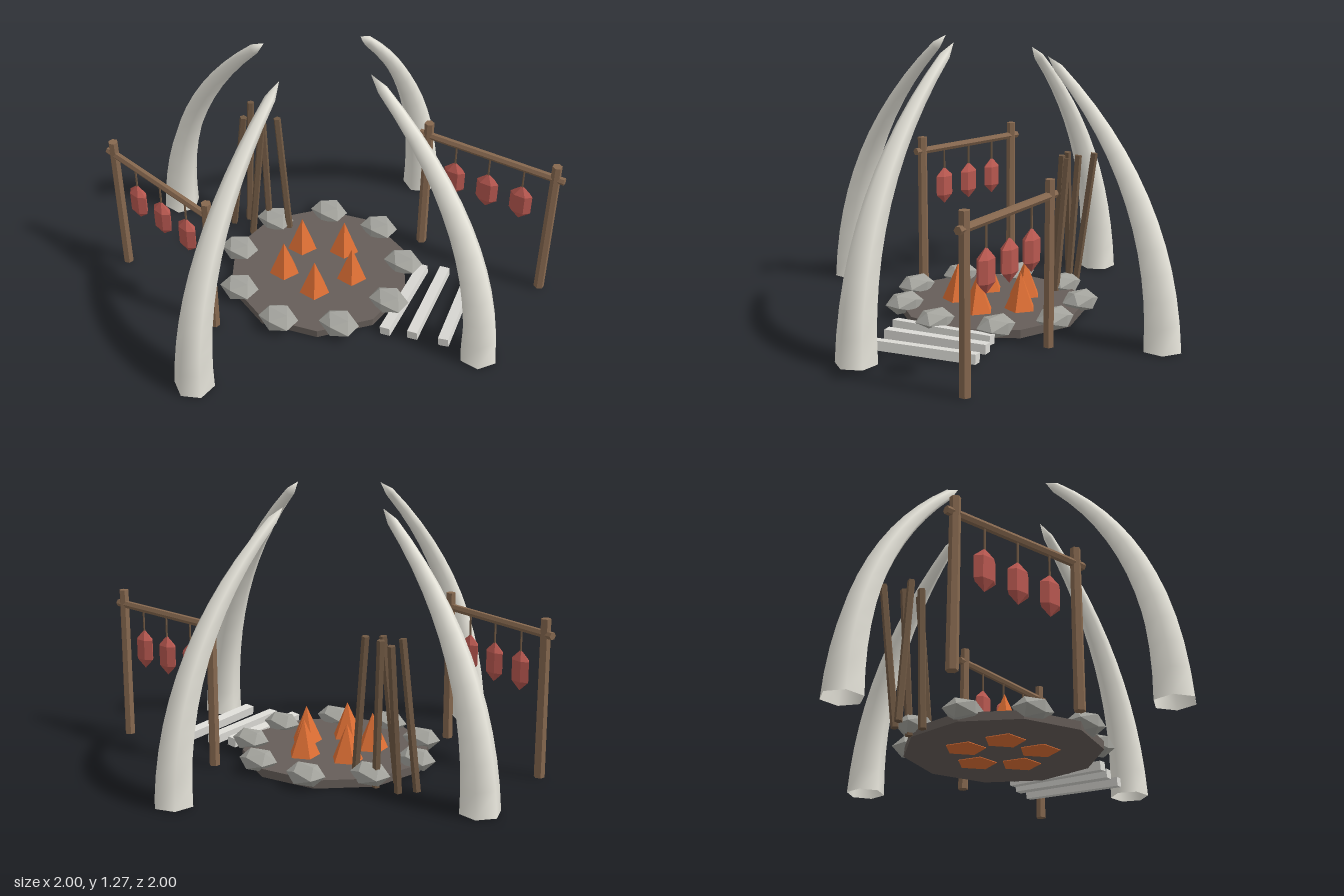
import * as THREE from 'three';

const GROUND = 0.017;
const mat = (color, flat = true, side = THREE.FrontSide) =>
  new THREE.MeshStandardMaterial({ color, flatShading: flat, side });
const mats = {
  ivory: mat(0xe8e6dc, false, THREE.DoubleSide),
  plank: mat(0xdcdbd6),
  earth: mat(0x665e59),
  stone: mat(0xa3a39d),
  wood: mat(0x86684f),
  stick: mat(0x6f5843),
  meat: mat(0xb85850),
  flame: mat(0xe07035),
};

function add(parent, name, geometry, material, x = 0, y = 0, z = 0) {
  const mesh = new THREE.Mesh(geometry, material);
  mesh.name = name;
  mesh.position.set(x, y, z);
  parent.add(mesh);
  return mesh;
}

// Straight round pole between two points
function pole(parent, name, a, b, radius, sides, material) {
  const dir = b.clone().sub(a);
  const mid = a.clone().add(b).multiplyScalar(0.5);
  const geo = new THREE.CylinderGeometry(radius, radius, dir.length(), sides);
  const mesh = add(parent, name, geo, material, mid.x, mid.y, mid.z);
  mesh.quaternion.setFromUnitVectors(new THREE.Vector3(0, 1, 0), dir.normalize());
  return mesh;
}

// Six-sided tapering tusk along a curve, open at the base, pointed at the tip
function tuskGeometry(tipX, tipY, bendY) {
  const curve = new THREE.QuadraticBezierCurve(
    new THREE.Vector2(0.908, GROUND), new THREE.Vector2(0.9, bendY), new THREE.Vector2(tipX, tipY));
  const sides = 6, rings = 12, pos = [], index = [];
  for (let i = 0; i <= rings; i++) {
    const t = (i / rings) * 0.95;
    const c = curve.getPoint(t), d = curve.getTangent(t);
    const r = 0.091 * (1 - 0.78 * t);
    for (let j = 0; j < sides; j++) {
      const a = (j / sides) * Math.PI * 2;
      pos.push(c.x + d.y * r * Math.cos(a), c.y - d.x * r * Math.cos(a), r * Math.sin(a));
    }
  }
  const tip = pos.length / 3;
  pos.push(tipX, tipY, 0);
  for (let i = 0; i <= rings; i++) {
    for (let j = 0; j < sides; j++) {
      const a = i * sides + j, b = i * sides + ((j + 1) % sides);
      if (i === rings) index.push(a, tip, b);
      else index.push(a, a + sides, b, b, a + sides, b + sides);
    }
  }
  const geo = new THREE.BufferGeometry();
  geo.setAttribute('position', new THREE.Float32BufferAttribute(pos, 3));
  geo.setIndex(index);
  geo.computeVertexNormals();
  return geo;
}

// Drying rack: two posts, a crossbar and three hanging pieces of meat
function dryingRack(x, z, turn) {
  const rack = new THREE.Group();
  rack.name = 'dryingRack';
  rack.position.set(x, 0, z);
  rack.rotation.y = turn;
  const postHeight = 0.745 - GROUND;
  for (const s of [-1, 1]) {
    add(rack, 'rackPost', new THREE.CylinderGeometry(0.023, 0.025, postHeight, 6), mats.wood,
      s * 0.321, GROUND + postHeight / 2, 0);
  }
  const bar = add(rack, 'rackBar', new THREE.CylinderGeometry(0.018, 0.018, 0.73, 6), mats.wood, 0, 0.675, 0);
  bar.rotation.z = Math.PI / 2;
  for (const i of [-1, 0, 1]) {
    add(rack, 'hangingString', new THREE.CylinderGeometry(0.005, 0.005, 0.11, 5), mats.stick, i * 0.172, 0.61, 0);
    const meat = add(rack, 'hangingMeat', new THREE.SphereGeometry(1, 6, 3), mats.meat, i * 0.172, 0.478, 0);
    meat.scale.set(0.063, 0.095, 0.034);
  }
  return rack;
}

export function createModel() {
  const model = new THREE.Group();
  model.name = 'tuskCamp';

  // Four tusks leaning inwards
  const tall = tuskGeometry(0.27, 1.28, 0.76);
  const low = tuskGeometry(0.305, 1.217, 0.72);
  [tall, tall, low, low].forEach((geo, i) => {
    add(model, 'tusk', geo, mats.ivory).rotation.y = -i * Math.PI / 2;
  });

  // Fire pit floor
  add(model, 'pitFloor', new THREE.CylinderGeometry(0.44, 0.44, 0.038, 10), mats.earth, 0, GROUND + 0.019, 0);

  // Ring of stones
  for (let i = 0; i < 9; i++) {
    const a = (i / 9) * Math.PI * 2;
    const stone = add(model, 'stone', new THREE.IcosahedronGeometry(0.1), mats.stone,
      0.413 * Math.cos(a), 0.07, 0.413 * Math.sin(a));
    stone.scale.set(1, 0.52, 0.8);
  }

  // Flames
  const flames = [[-0.16, -0.075], [0.02, -0.18], [0.165, -0.045], [0.08, 0.14], [-0.12, 0.12]];
  for (const [x, z] of flames) {
    const flame = add(model, 'flame', new THREE.ConeGeometry(0.092, 0.213, 5), mats.flame, x, 0.1205, z);
    flame.rotation.y = Math.PI;
  }

  // Drying racks
  model.add(dryingRack(-0.492, 0.537, -0.118));
  model.add(dryingRack(0.587, -0.54, 0.097));

  // Leaning sticks: base x, z then top x, z
  const sticks = [
    [-0.58, -0.04, -0.51, -0.07],
    [-0.535, -0.11, -0.565, -0.19],
    [-0.45, -0.035, -0.42, -0.1],
    [-0.3, -0.15, -0.375, -0.16],
    [-0.425, -0.14, -0.47, -0.16],
  ];
  for (const [x0, z0, x1, z1] of sticks) {
    pole(model, 'leaningStick', new THREE.Vector3(x0, GROUND + 0.002, z0),
      new THREE.Vector3(x1, 0.693, z1), 0.018, 5, mats.stick);
  }

  // Pale planks lying beside the pit: centre x, y, z, turn, roll
  const planks = [
    [0.453, 0.043, -0.078, 0.2, 0.12],
    [0.557, 0.043, -0.13, 0.245, 0.06],
    [0.688, 0.045, -0.175, 0.28, 0.12],
  ];
  for (const [x, y, z, turn, roll] of planks) {
    const plank = add(model, 'plank', new THREE.BoxGeometry(0.048, 0.042, 0.48), mats.plank, x, y, z);
    plank.rotation.set(0, turn, roll);
  }
  return model;
}
